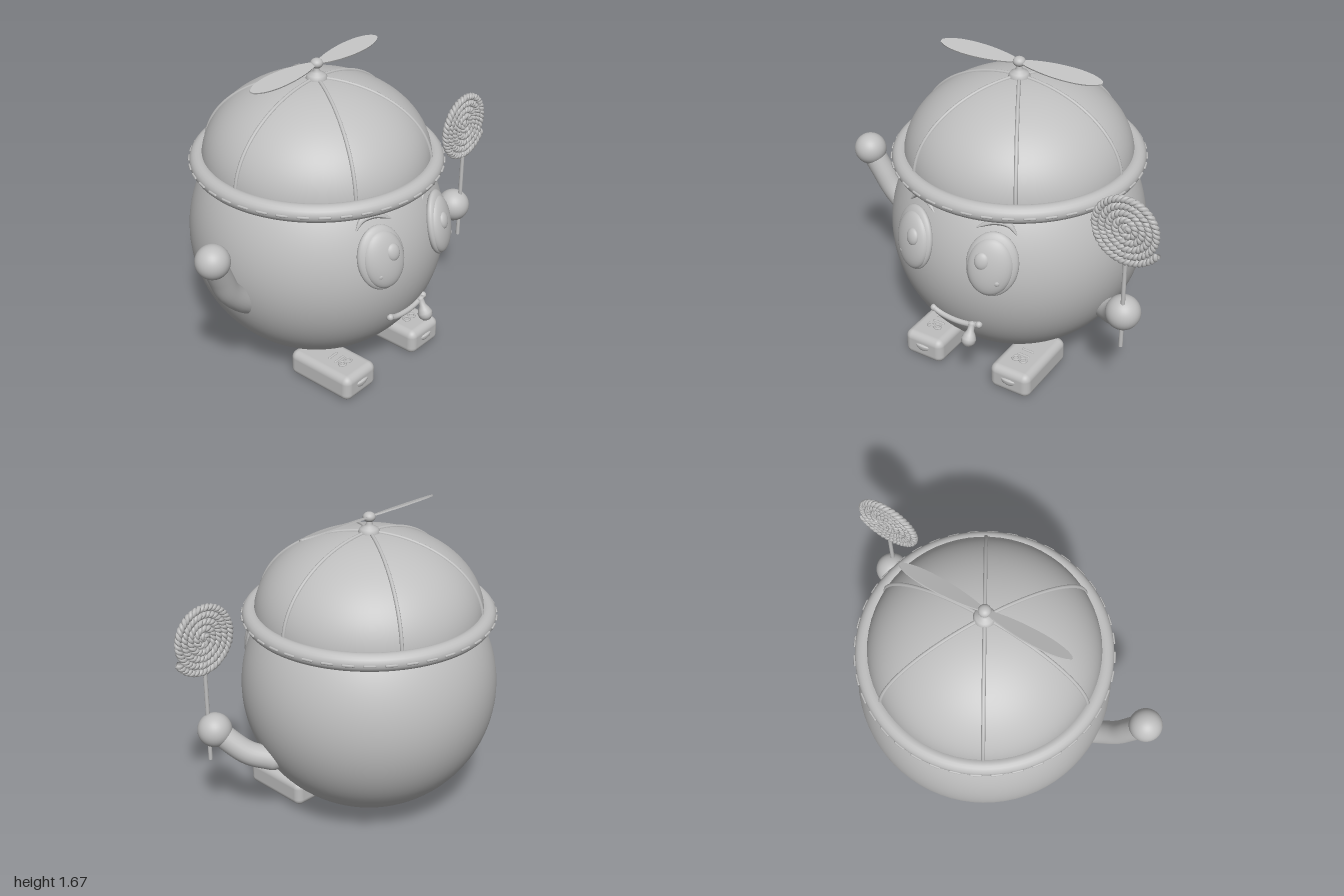
import * as THREE from 'three';
import { RoundedBoxGeometry } from 'three/addons/geometries/RoundedBoxGeometry.js';

const grey = new THREE.MeshStandardMaterial({ color: 0xbfbfbf, side: THREE.DoubleSide });
grey.name = 'plain grey';

const V = (x, y, z) => new THREE.Vector3(x, y, z);
const BODY_R = 0.685;
const BODY_Y = 0.718;

function add(parent, name, geometry, x = 0, y = 0, z = 0) {
  const mesh = new THREE.Mesh(geometry, grey);
  mesh.name = name;
  mesh.position.set(x, y, z);
  parent.add(mesh);
  return mesh;
}

const ball = (r, w = 32, h = 20) => new THREE.SphereGeometry(r, w, h);
const curve = (pts) => new THREE.CatmullRomCurve3(pts);

// Point on the front of the body, raised by lift along the surface normal
function onBody(x, y, lift = 0) {
  const dy = y - BODY_Y;
  const n = V(x, dy, Math.sqrt(BODY_R ** 2 - x * x - dy * dy)).normalize();
  return n.multiplyScalar(BODY_R + lift).add(V(0, BODY_Y, 0));
}

// Flattened ellipsoid lying on the body surface
function pad(parent, name, x, y, lift, size, tilt = 0) {
  const p = onBody(x, y, lift);
  const mesh = add(parent, name, ball(1), p.x, p.y, p.z);
  mesh.lookAt(p.clone().multiplyScalar(2).sub(V(0, BODY_Y, 0)));
  mesh.rotateZ(tilt);
  mesh.scale.set(...size);
  return mesh;
}

// Tube whose radius follows a rule along its length
function taperedTube(path, segments, radius, sides, rule) {
  const geo = new THREE.TubeGeometry(path, segments, radius, sides);
  const pos = geo.attributes.position;
  const v = V();
  for (let i = 0; i <= segments; i++) {
    const c = path.getPointAt(i / segments);
    for (let j = 0; j <= sides; j++) {
      const k = i * (sides + 1) + j;
      v.fromBufferAttribute(pos, k).sub(c).multiplyScalar(rule(i / segments)).add(c);
      pos.setXYZ(k, v.x, v.y, v.z);
    }
  }
  geo.computeVertexNormals();
  return geo;
}

function addFace(parent) {
  for (const s of [-1, 1]) {
    const tilt = -s * 0.12;
    pad(parent, 'eyeRim', s * 0.232, 0.865, 0.0, [0.133, 0.172, 0.045], tilt);
    pad(parent, 'eyeball', s * 0.226, 0.857, 0.014, [0.116, 0.154, 0.05], tilt);
    pad(parent, 'pupil', s * 0.192, 0.892, 0.052, [0.039, 0.046, 0.022], tilt);
    pad(parent, 'eyeSparkle', s * 0.265, 0.79, 0.045, [0.018, 0.019, 0.016]);
    const brow = curve([[0.315, 1.012], [0.27, 1.055], [0.205, 1.066], [0.125, 1.03]]
      .map(([x, y]) => onBody(s * x, y, 0.006)));
    add(parent, 'eyebrow', taperedTube(brow, 24, 0.02, 10, (t) => 0.15 + 0.85 * Math.sin(Math.PI * t)));
  }
  // Mouth with a drip at its corner
  const mouth = [[-0.135, 0.457], [-0.09, 0.44], [0, 0.432], [0.08, 0.438], [0.14, 0.455]]
    .map(([x, y]) => onBody(x, y, 0.008));
  add(parent, 'mouth', new THREE.TubeGeometry(curve(mouth), 32, 0.016, 12));
  for (const p of [mouth[0], mouth[4]]) add(parent, 'mouthCorner', ball(0.019, 16, 12), p.x, p.y, p.z);
  const drip = new THREE.LatheGeometry([[0, -0.045], [0.022, -0.038], [0.037, -0.018], [0.039, 0.002],
    [0.03, 0.024], [0.018, 0.045], [0.016, 0.075], [0.02, 0.088], [0, 0.095]]
    .map(([x, y]) => new THREE.Vector2(x, y)), 24);
  add(parent, 'drip', drip, 0.107, 0.378, 0.668).rotation.x = -0.42;
}

function addCap(parent) {
  const y0 = 1.132, r = 0.603, h = 0.437;
  const dome = new THREE.SphereGeometry(1, 64, 24, 0, Math.PI * 2, 0, Math.PI / 2);
  add(parent, 'capDome', dome.scale(r, h, r), 0, y0, 0);
  const brim = new THREE.TorusGeometry(0.618, 0.047, 20, 96).rotateX(Math.PI / 2);
  add(parent, 'capBrim', brim, 0, y0, 0);
  // Panel seams
  const seam = [];
  for (let i = 0; i <= 12; i++) {
    const a = (i / 12) * Math.PI / 2;
    seam.push(V(r * Math.cos(a), h * Math.sin(a), 0));
  }
  const seamGeo = new THREE.TubeGeometry(curve(seam), 32, 0.01, 8);
  for (let i = 0; i < 6; i++) add(parent, 'capSeam', seamGeo, 0, y0, 0).rotation.y = i * Math.PI / 3;
  // Running stitch around the brim
  const stitch = new THREE.CapsuleGeometry(0.007, 0.05, 3, 6).rotateX(Math.PI / 2);
  for (let i = 0; i < 40; i++) {
    const a = (i / 40) * Math.PI * 2;
    add(parent, 'brimStitch', stitch, 0.666 * Math.cos(a), y0, 0.666 * Math.sin(a)).rotation.y = -a;
  }
  // Button, spindle and propeller
  const button = new THREE.LatheGeometry([[0.056, 1.55], [0.056, 1.572], [0.047, 1.588], [0.025, 1.6],
    [0.016, 1.612], [0.016, 1.64]].map(([x, y]) => new THREE.Vector2(x, y)), 32);
  add(parent, 'capButton', button);
  add(parent, 'propellerHub', ball(0.033, 24, 16).scale(1, 0.8, 1), 0, 1.647, 0);
  const shape = new THREE.Shape();
  shape.moveTo(0.015, 0.012);
  shape.bezierCurveTo(0.15, 0.055, 0.4, 0.065, 0.472, 0.01);
  shape.quadraticCurveTo(0.478, 0, 0.472, -0.01);
  shape.bezierCurveTo(0.4, -0.065, 0.15, -0.055, 0.015, -0.012);
  const blade = new THREE.ExtrudeGeometry(shape, { depth: 0.008, bevelEnabled: false, curveSegments: 20 })
    .translate(0, 0, -0.004).rotateX(-Math.PI / 2);
  for (const s of [0, 1]) {
    const m = add(parent, 'propellerBlade', blade, 0, 1.647, 0);
    m.rotation.set((s ? -1 : 1) * 0.38, s * Math.PI, 0, 'YXZ');
  }
}

function addFeet(parent) {
  const shoe = new RoundedBoxGeometry(0.24, 0.145, 0.41, 5, 0.04);
  for (const s of [-1, 1]) {
    const foot = new THREE.Group();
    foot.name = 'foot';
    foot.position.set(s * 0.275, 0.08, 0.358);
    parent.add(foot);
    add(foot, 'shoe', shoe);
    // Toe patch: lower half of a flattened ball
    const patch = new THREE.SphereGeometry(1, 24, 12, 0, Math.PI * 2, Math.PI / 2, Math.PI / 2);
    add(foot, 'toePatch', patch.scale(0.045, 0.032, 0.016), 0, 0.014, 0.2);
    add(foot, 'toePatchTop', ball(1, 24, 12).scale(0.045, 0.01, 0.016), 0, 0.014, 0.2);
    // Laces
    for (const z of [0, 0.045]) {
      add(foot, 'lace', new THREE.CapsuleGeometry(0.007, 0.06, 3, 8).rotateZ(Math.PI / 2), 0, 0.073, z);
    }
    for (const d of [-1, 1]) {
      const loop = new THREE.TorusGeometry(0.018, 0.006, 6, 20).rotateX(Math.PI / 2);
      add(foot, 'laceLoop', loop, d * 0.022, 0.075, 0.085);
    }
  }
}

function addArm(parent, name, pts, handRadius) {
  const arm = new THREE.Group();
  arm.name = name;
  parent.add(arm);
  add(arm, 'sleeve', new THREE.TubeGeometry(curve(pts), 32, 0.063, 24));
  add(arm, 'shoulder', ball(0.063), ...pts[0].toArray());
  add(arm, 'hand', ball(handRadius), ...pts[pts.length - 1].toArray());
}

function addLollipop(parent) {
  const candy = new THREE.Group();
  candy.name = 'lollipop';
  candy.position.set(0.803, 1.12, 0.35);
  parent.add(candy);
  add(candy, 'stick', new THREE.CylinderGeometry(0.011, 0.011, 0.68, 16), 0, -0.36, 0);
  // Two strands twisted around each other along a flat spiral
  const turns = 5.1, end = -0.5;
  for (const strand of [0, 1]) {
    const pts = [];
    for (let i = 0; i <= 900; i++) {
      const t = i / 900;
      const r = 0.188 * t ** 0.75;
      const a = end - (1 - t ** 0.75) * turns * Math.PI * 2;
      const w = t ** 1.5 * 60 * Math.PI * 2 + strand * Math.PI;
      const rr = r + 0.008 * Math.cos(w);
      pts.push(V(rr * Math.cos(a), rr * Math.sin(a), 0.008 * Math.sin(w)));
    }
    add(candy, 'candyStrand', new THREE.TubeGeometry(curve(pts), 1100, 0.0125, 6));
  }
  add(candy, 'candyCentre', ball(0.018, 16, 12));
}

export function createModel() {
  const model = new THREE.Group();
  model.name = 'roundCharacter';
  // Head-body, face, cap and feet share one centre line
  const core = new THREE.Group();
  core.name = 'core';
  core.position.set(-0.018, 0, -0.01);
  model.add(core);
  add(core, 'body', ball(BODY_R, 72, 48), 0, BODY_Y, 0);
  addFace(core);
  addCap(core);
  addFeet(core);
  addArm(model, 'rightArm', [V(-0.6, 0.52, 0.05), V(-0.7, 0.6, 0.07), V(-0.79, 0.7, 0.085),
    V(-0.85, 0.815, 0.1), V(-0.912, 0.942, 0.118)], 0.088);
  addArm(model, 'leftArm', [V(0.58, 0.43, 0.11), V(0.68, 0.475, 0.19), V(0.79, 0.605, 0.315)], 0.091);
  addLollipop(model);
  return model;
}
